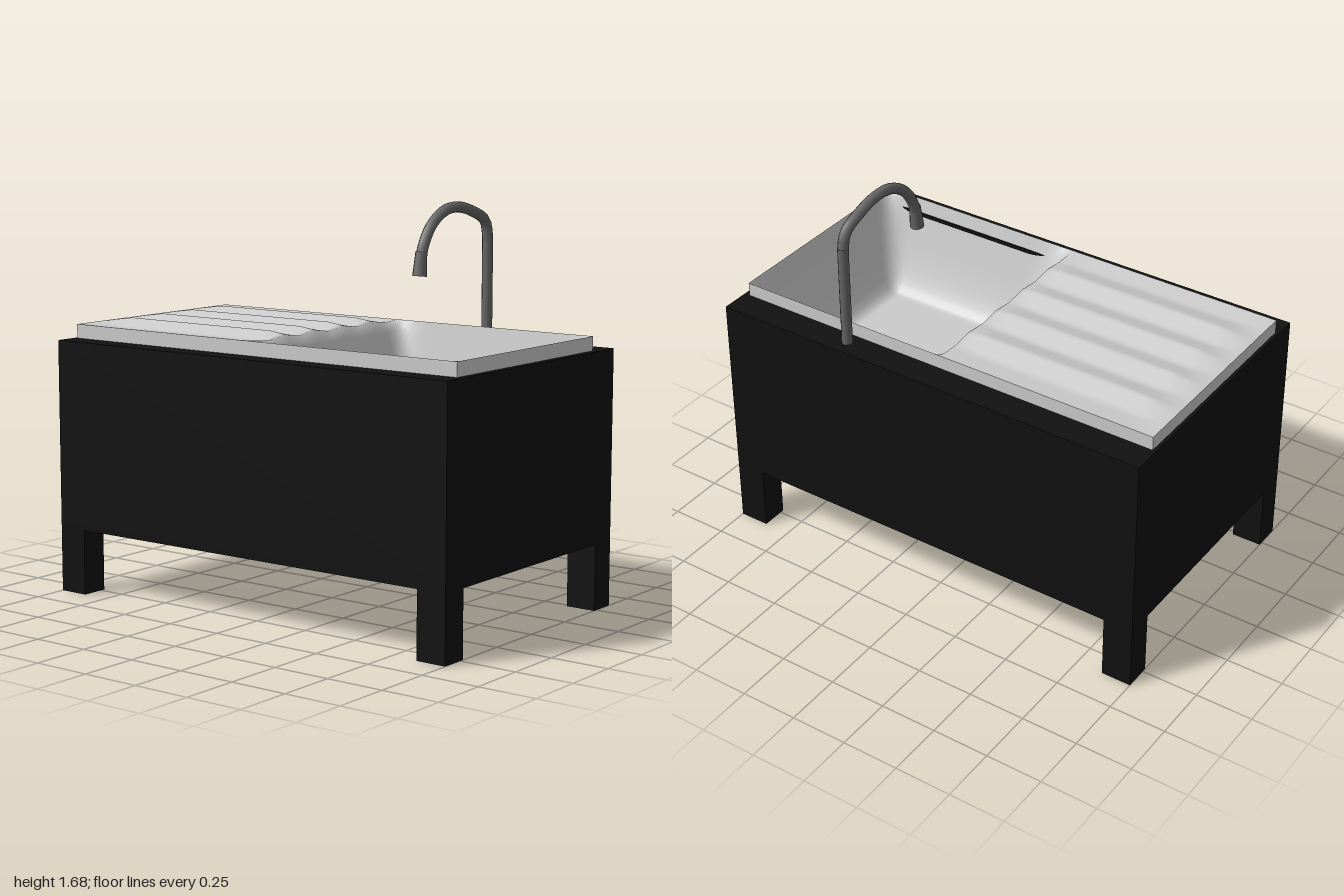
import * as THREE from 'three';

const TOP = 1.085, RIM = 1.145, LEG = 0.28;
const X0 = -0.985, X1 = 0.975, Z0 = -0.475, Z1 = 0.5;

const clamp01 = (t) => Math.min(1, Math.max(0, t));
const ease = (t) => Math.sin(clamp01(t) * Math.PI / 2);

// Height of the sink's upper surface: ridged drainboard and sloping basin
function sinkHeight(x, z) {
  const spacing = 0.195;
  const along = clamp01((x - X0) / 0.14) * clamp01((0.05 - x) / 0.13);
  let ridge = 0;
  if (z < 0.405 && z > -0.375) {
    const t = Math.abs((z - 0.305) / spacing - Math.round((z - 0.305) / spacing)) * 2;
    ridge = 0.03 * (1 - t) - 0.01;
  } else {
    const edge = z > 0 ? (Z1 - z) / (Z1 - 0.405) : (z - Z0) / (-0.375 - Z0);
    ridge = -0.01 * clamp01(edge);
  }
  const basin = ease(x / 0.22) * ease((X1 - x) / 0.155)
    * ease((Z1 - z) / 0.17) * ease((z - Z0) / 0.105);
  return RIM + ridge * along - 0.425 * basin;
}

export function createModel() {
  const model = new THREE.Group();
  const black = new THREE.MeshStandardMaterial({ color: 0x111111 });
  const steel = new THREE.MeshStandardMaterial({ color: 0xcccccc, side: THREE.DoubleSide });
  const darkSteel = new THREE.MeshStandardMaterial({ color: 0x666666 });

  const add = (name, geometry, material, x = 0, y = 0, z = 0, parent = model) => {
    const mesh = new THREE.Mesh(geometry, material);
    mesh.name = name;
    mesh.position.set(x, y, z);
    parent.add(mesh);
    return mesh;
  };

  // Cabinet with an opening for the basin
  const rect = (path, x0, x1, y0, y1) =>
    path.moveTo(x0, y0).lineTo(x1, y0).lineTo(x1, y1).lineTo(x0, y1).closePath();
  const outline = new THREE.Shape();
  rect(outline, -1, 1, -0.6, 0.6);
  const opening = new THREE.Path();
  rect(opening, 0, 0.97, -0.48, 0.472);
  outline.holes.push(opening);
  const cabinet = new THREE.ExtrudeGeometry(outline, { depth: TOP - LEG - 0.02, bevelEnabled: false });
  cabinet.rotateX(-Math.PI / 2);
  add('cabinet', cabinet, black, 0, LEG + 0.02, 0);
  add('cabinetBottom', new THREE.BoxGeometry(2, 0.02, 1.2), black, 0, LEG + 0.01, 0);

  // Four square legs
  for (const sx of [-1, 1]) {
    for (const sz of [-1, 1]) {
      add('leg', new THREE.BoxGeometry(0.132, LEG, 0.118), black, sx * 0.934, LEG / 2, sz * 0.541);
    }
  }

  // Sink surface
  const sink = new THREE.Group();
  sink.name = 'sink';
  model.add(sink);
  const w = X1 - X0, d = Z1 - Z0, cx = (X0 + X1) / 2, cz = (Z0 + Z1) / 2;
  const surface = new THREE.PlaneGeometry(w, d, 98, 65);
  surface.rotateX(-Math.PI / 2);
  surface.translate(cx, 0, cz);
  const p = surface.attributes.position;
  for (let i = 0; i < p.count; i++) p.setY(i, sinkHeight(p.getX(i), p.getZ(i)));
  surface.computeVertexNormals();
  add('drainboardAndBasin', surface, steel, 0, 0, 0, sink);

  // Upright outer edges of the sink
  const h = RIM - TOP, y = (RIM + TOP) / 2;
  for (const z of [Z0, Z1]) {
    const side = add('sinkLongEdge', new THREE.PlaneGeometry(w, h), steel, cx, y, z, sink);
    if (z < 0) side.rotation.y = Math.PI;
  }
  for (const x of [X0, X1]) {
    const side = add('sinkShortEdge', new THREE.PlaneGeometry(d, h), steel, x, y, cz, sink);
    side.rotation.y = Math.sign(x) * Math.PI / 2;
  }

  // Drain
  const drain = add('drain', new THREE.SphereGeometry(0.043, 20, 12), darkSteel, 0.535, 0.722, -0.1, sink);
  drain.scale.y = 0.4;

  // Tap: straight stem, swan neck and wider spout
  const tap = new THREE.Group();
  tap.name = 'tap';
  tap.position.x = 0.42;
  model.add(tap);
  add('tapStem', new THREE.CylinderGeometry(0.023, 0.023, 0.45, 12), darkSteel, 0, TOP + 0.22, -0.53, tap);
  const neck = new THREE.CatmullRomCurve3([
    [1.5, -0.53], [1.53, -0.528], [1.59, -0.508], [1.632, -0.42], [1.657, -0.31],
    [1.647, -0.21], [1.59, -0.115], [1.51, -0.06], [1.47, -0.048],
  ].map(([py, pz]) => new THREE.Vector3(0, py, pz)));
  add('tapNeck', new THREE.TubeGeometry(neck, 24, 0.023, 12), darkSteel, 0, 0, 0, tap);
  const spout = add('tapSpout', new THREE.CylinderGeometry(0.024, 0.03, 0.1, 12), darkSteel, 0, 1.44, -0.042, tap);
  spout.rotation.x = -0.12;

  return model;
}
